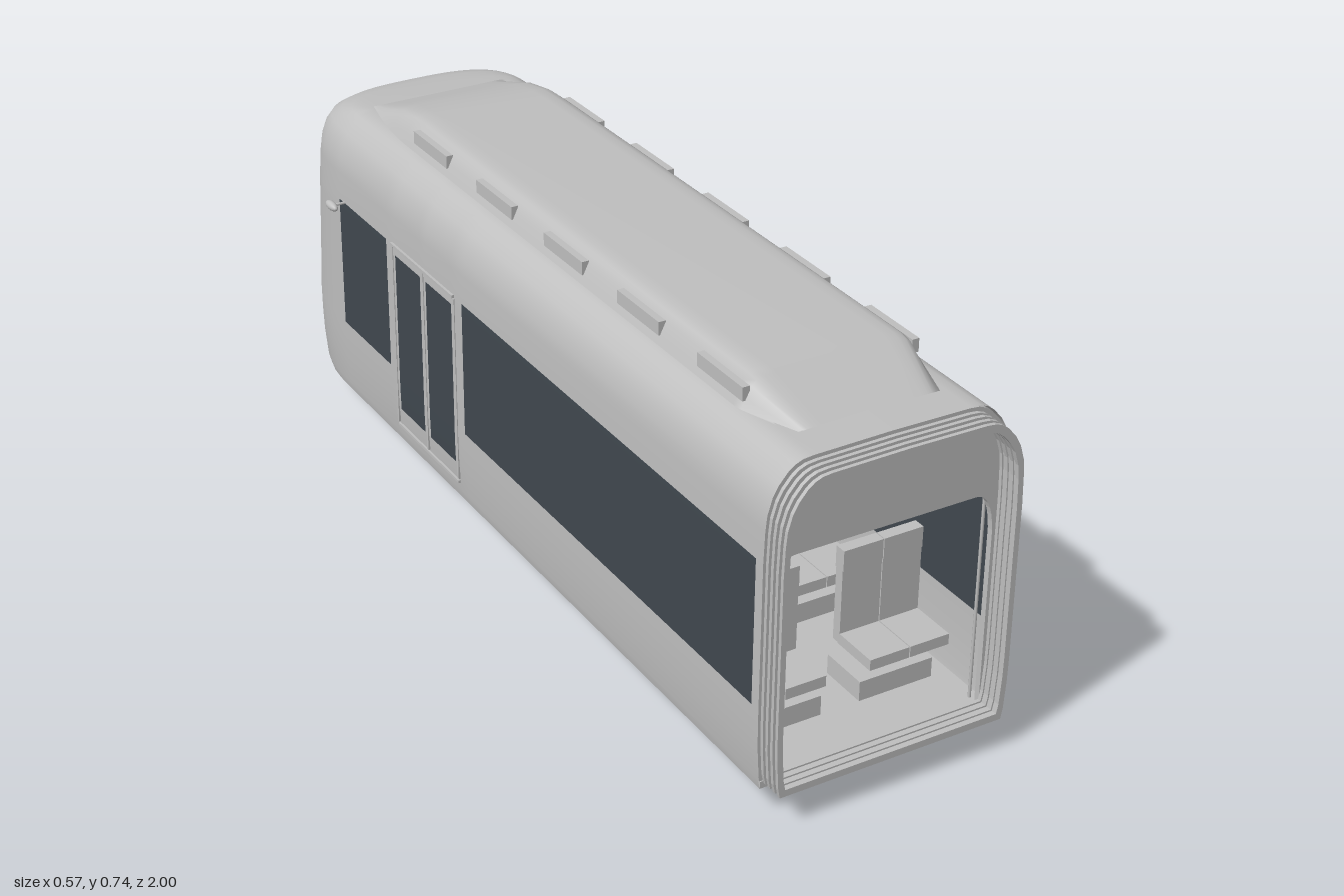
import * as THREE from 'three';

const mat = (name, color, side = THREE.FrontSide) => {
  const m = new THREE.MeshStandardMaterial({ color, side });
  m.name = name;
  return m;
};

// Body rows from bottom to roof: height, half width, z of the nose
const ROWS = [
  [0.06, 0.236, -0.905], [0.08, 0.24, -0.915], [0.14, 0.244, -0.925], [0.19, 0.245, -0.929],
  [0.225, 0.245, -0.93], [0.35, 0.245, -0.913], [0.49, 0.245, -0.892], [0.51, 0.245, -0.889],
  [0.57, 0.243, -0.879], [0.60, 0.24, -0.873], [0.63, 0.231, -0.864], [0.65, 0.22, -0.85],
  [0.67, 0.203, -0.815], [0.68, 0.19, -0.775], [0.686, 0.175, -0.72], [0.688, 0.155, -0.68],
  [0.69, 0, -0.666],
];
const SIDE_Z = [0.95, 0.93, -0.11, -0.155, -0.265, -0.29, -0.40, -0.44, -0.66];
const ANGLES = [1, 3, 7, 14, 24, 34, 42, 50, 58, 66, 74, 80, 85, 88];
const NOSE_START = -0.665;

// One horizontal outline: +x side, round the nose, -x side
function nosePoint([, w, zn], deg) {
  const a = deg * Math.PI / 180;
  return [w * Math.cos(a) ** (2 / 3), NOSE_START + (zn - NOSE_START) * Math.sin(a) ** (2 / 3)];
}
function outline(row) {
  const half = [...SIDE_Z.map(z => [row[1], z]), ...ANGLES.map(a => nosePoint(row, a))];
  return [...half, [0, row[2]], ...half.slice().reverse().map(([x, z]) => [-x, z])];
}

function bodyGeometry() {
  const pos = [], paint = [], glass = [];
  const cols = outline(ROWS[0]).length, last = cols - 1;
  for (const row of ROWS) for (const [x, z] of outline(row)) pos.push(x, row[0], z);
  const screenStart = SIDE_Z.length + ANGLES.indexOf(34);
  for (let r = 0; r < ROWS.length - 1; r++) {
    const y = (ROWS[r][0] + ROWS[r + 1][0]) / 2;
    for (let c = 0; c < last; c++) {
      const k = Math.min(c, last - 1 - c); // same column counted from either side
      const window = (k === 1 || k === 7) && y > 0.225 && y < 0.51;
      const doorPane = (k === 3 || k === 5) && y > 0.14 && y < 0.49;
      const screen = k >= screenStart && y > 0.225 && y < 0.63;
      const a = r * cols + c, b = a + 1, d = b + cols, e = a + cols;
      (window || doorPane || screen ? glass : paint).push(a, b, d, a, d, e);
    }
  }
  const g = new THREE.BufferGeometry();
  g.setAttribute('position', new THREE.Float32BufferAttribute(pos, 3));
  g.setIndex([...paint, ...glass]);
  g.addGroup(0, paint.length, 0);
  g.addGroup(paint.length, glass.length, 1);
  g.computeVertexNormals();
  return g;
}

// Cross-section of the body, scaled about its middle
function section(s, Type = THREE.Shape) {
  const pts = ROWS.map(([y, w]) => new THREE.Vector2(w * s, 0.375 + (y - 0.375) * s));
  const left = pts.slice(0, -1).reverse().map(p => new THREE.Vector2(-p.x, p.y));
  return new Type([...pts, ...left]);
}

// Roof fairing lofted from stations along z: z, half width, height
function fairingGeometry() {
  const stations = [[0.88, 0.143, 0], [0.77, 0.178, 0.052], [0.75, 0.18, 0.056], [-0.43, 0.18, 0.056],
    [-0.48, 0.18, 0.054], [-0.55, 0.175, 0.043], [-0.62, 0.163, 0.02], [-0.68, 0.15, 0]];
  const half = [[1, 0], [0.95, 0.35], [0.89, 0.75], [0.83, 0.9], [0.75, 0.97], [0.62, 1]];
  const prof = [...half, ...half.slice().reverse().map(([x, y]) => [-x, y])];
  const pos = [], idx = [], n = prof.length;
  for (const [z, w, h] of stations) for (const [px, py] of prof) pos.push(px * w, 0.688 + py * h, z);
  for (let s = 0; s < stations.length - 1; s++) {
    for (let i = 0; i < n - 1; i++) {
      const a = s * n + i, b = a + n;
      idx.push(a, b, b + 1, a, b + 1, a + 1);
    }
  }
  const g = new THREE.BufferGeometry();
  g.setAttribute('position', new THREE.Float32BufferAttribute(pos, 3));
  g.setIndex(idx);
  g.computeVertexNormals();
  return g;
}

export function createModel() {
  const grey = mat('bodyGrey', 0xbfbfbf);
  const shell = mat('shellGrey', 0xbfbfbf, THREE.DoubleSide);
  const glass = mat('darkGlass', 0x40484f, THREE.DoubleSide);
  const model = new THREE.Group();
  model.name = 'tramCar';

  const add = (name, geo, x = 0, y = 0, z = 0, m = grey, parent = model) => {
    const mesh = new THREE.Mesh(geo, m);
    mesh.name = name;
    mesh.position.set(x, y, z);
    parent.add(mesh);
    return mesh;
  };
  const box = (name, w, h, d, x, y, z, m, parent) => add(name, new THREE.BoxGeometry(w, h, d), x, y, z, m, parent);
  const barX = (name, r, len, x, y, z) => add(name, new THREE.CylinderGeometry(r, r, len, 28).rotateZ(Math.PI / 2), x, y, z);
  const rod = (name, from, to, r) => {
    const path = new THREE.LineCurve3(new THREE.Vector3(...from), new THREE.Vector3(...to));
    return add(name, new THREE.TubeGeometry(path, 1, r, 8));
  };

  // Shell, floor and roof
  add('bodyShell', bodyGeometry(), 0, 0, 0, [shell, glass]);
  const floor = new THREE.Shape(outline(ROWS[0]).map(([x, z]) => new THREE.Vector2(x, -z)));
  add('floor', new THREE.ExtrudeGeometry(floor, { depth: 0.014, bevelEnabled: false }).rotateX(-Math.PI / 2), 0, 0.0601, 0);
  add('roofFairing', fairingGeometry(), 0, 0, 0, shell);

  // Open end wall with a wide rounded passage
  const wall = section(0.99), gap = new THREE.Path();
  gap.moveTo(-0.22, 0.075).lineTo(0.22, 0.075).lineTo(0.22, 0.43);
  gap.quadraticCurveTo(0.215, 0.507, 0.18, 0.507).lineTo(-0.18, 0.507);
  gap.quadraticCurveTo(-0.215, 0.507, -0.22, 0.43).lineTo(-0.22, 0.075);
  wall.holes.push(gap);
  add('endWall', new THREE.ExtrudeGeometry(wall, { depth: 0.012, bevelEnabled: false, curveSegments: 8 }), 0, 0, 0.936);

  // Ribbed bellows around the passage
  for (let i = 0; i < 7; i++) {
    const ring = section(i % 2 ? 0.945 : 0.968);
    ring.holes.push(section(i % 2 ? 0.935 : 0.925, THREE.Path));
    const depth = 0.052 / 7;
    add('bellowsRib', new THREE.ExtrudeGeometry(ring, { depth, bevelEnabled: false }), 0, 0, 0.948 + i * depth);
  }

  // Cab partition with double door, display and window
  box('cabPartition', 0.46, 0.55, 0.012, 0, 0.345, -0.45);
  box('cabDoorSeam', 0.006, 0.4, 0.006, 0, 0.307, -0.441);
  box('displayFrame', 0.13, 0.046, 0.02, 0, 0.469, -0.435);
  box('displayScreen', 0.116, 0.038, 0.004, 0, 0.469, -0.424, glass);
  box('cabPartitionWindow', 0.105, 0.07, 0.006, -0.108, 0.38, -0.442, glass);

  for (const s of [1, -1]) {
    // Sliding door rails and posts
    for (const y of [0.512, 0.1]) box('doorRail', 0.01, 0.006, 0.27, s * (y < 0.2 ? 0.241 : 0.245), y, -0.277);
    for (const z of [-0.143, -0.277, -0.412]) box('doorPost', 0.004, 0.4, 0.006, s * 0.2445, 0.307, z);

    // Roof vents
    for (let i = 0; i < 5; i++) box('roofVent', 0.014, 0.026, 0.142, s * 0.169, 0.716, 0.7 - i * 0.267);

    // Mirrors
    rod('mirrorArm', [s * 0.24, 0.511, -0.635], [s * 0.275, 0.511, -0.635], 0.003);
    add('mirror', new THREE.SphereGeometry(0.009, 16, 12), s * 0.274, 0.511, -0.635).scale.z = 2.6;

    // Front lamps
    for (const deg of [45, 54, 63]) {
      const [x, z] = nosePoint(ROWS[3], deg);
      add('lamp', new THREE.SphereGeometry(0.008, 12, 8), s * x, 0.18, z);
    }

    // Seat pairs facing the open end
    for (const z of [0.76, 0.5, 0.24, -0.02]) {
      const seats = new THREE.Group();
      seats.name = 'seatPair';
      seats.position.set(s * 0.13, 0, z);
      model.add(seats);
      for (const x of [-0.0425, 0.0425]) {
        box('seatCushion', 0.083, 0.022, 0.1, x, 0.16, 0.05, grey, seats);
        box('seatBack', 0.083, 0.15, 0.02, x, 0.226, -0.005, grey, seats);
        box('headrest', 0.083, 0.042, 0.024, x, 0.322, -0.005, grey, seats);
      }
      add('seatLeg', new THREE.CylinderGeometry(0.02, 0.02, 0.04, 20), s * 0.045, 0.132, 0.03, grey, seats);
      box('seatBase', 0.155, 0.04, 0.1, -s * 0.012, 0.095, 0.03, grey, seats);
    }

    // Grab poles
    for (const z of [0.62, 0.1]) rod('grabPole', [s * 0.174, 0.34, z], [s * 0.174, 0.5, z], 0.003);
    rod('entrancePole', [s * 0.217, 0.075, 0.925], [s * 0.217, 0.5, 0.925], 0.003);

    // Wheels with flanges, hubs and brake discs
    for (const z of [0.39, 0.02]) {
      barX('wheel', 0.055, 0.024, s * 0.157, 0.064, z);
      barX('wheelFlange', 0.062, 0.007, s * 0.148, 0.064, z);
      add('wheelHub', new THREE.SphereGeometry(0.013, 14, 10), s * 0.172, 0.066, z);
      barX('brakeDisc', 0.04, 0.008, s * 0.097, 0.065, z);
    }
  }

  // Axles and drive motors
  for (const z of [0.39, 0.02]) barX('axle', 0.008, 0.31, 0, 0.064, z);
  for (const z of [0.295, 0.11]) barX('driveMotor', 0.026, 0.15, -0.012, 0.064, z);

  // Windscreen wiper
  rod('wiper', [-0.155, 0.25, -0.905], [0.05, 0.39, -0.998], 0.002);

  return model;
}
